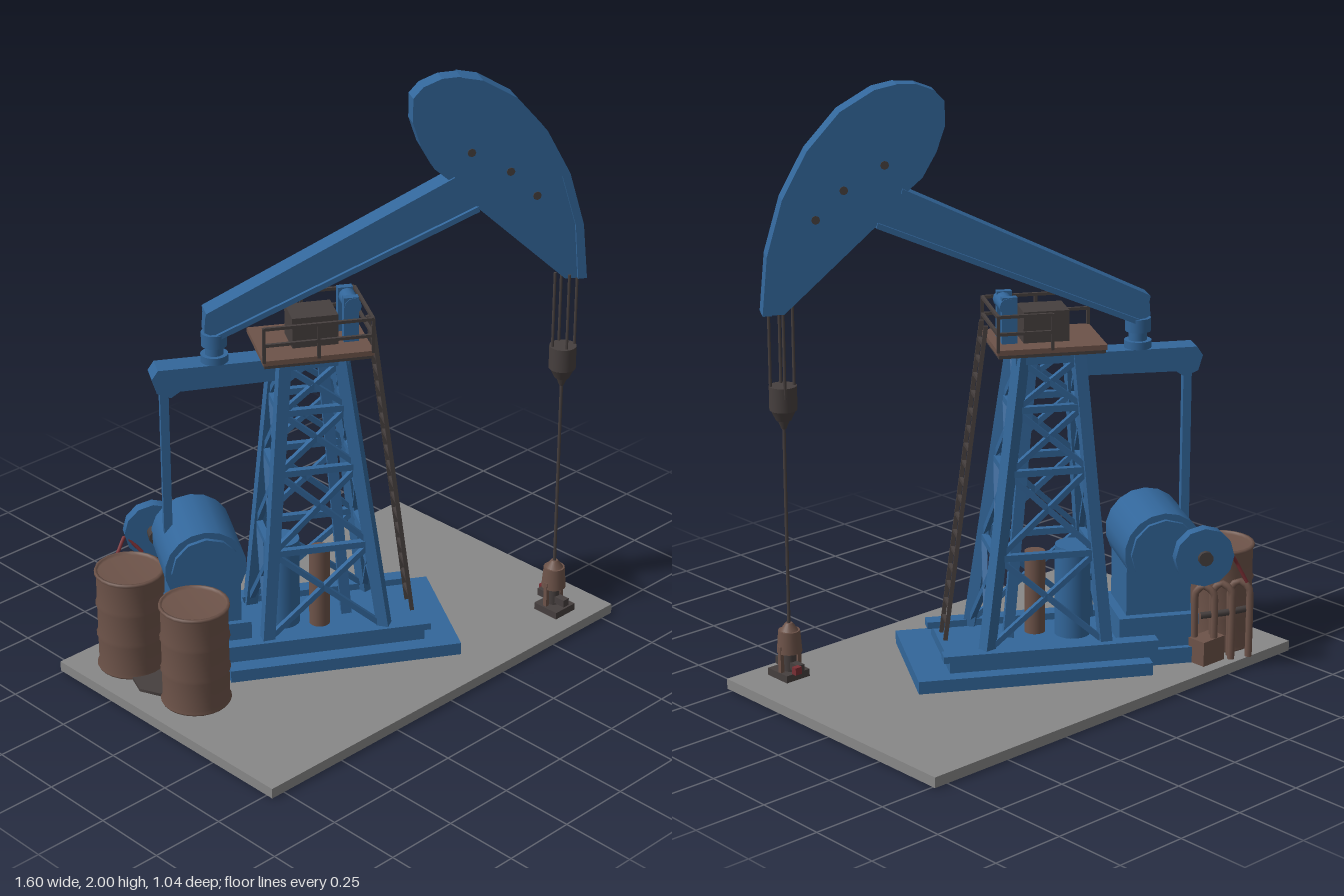
import * as THREE from 'three';

const mat = (name, color) => Object.assign(new THREE.MeshStandardMaterial({ color }), { name });
const V = (x, y, z) => new THREE.Vector3(x, y, z);

export function createModel() {
  const blue = mat('paintedBlue', 0x32669a);
  const concrete = mat('concreteGrey', 0x888888);
  const rust = mat('rustBrown', 0x6d5349);
  const dark = mat('darkIron', 0x463f3e);
  const red = mat('valveRed', 0x7a2f35);

  const root = new THREE.Group();
  root.name = 'oilPump';
  // the pump stands diagonally on its slab: local x runs along the beam
  const pump = new THREE.Group();
  pump.name = 'pumpUnit';
  pump.rotation.y = -31 * Math.PI / 180;
  root.add(pump);

  const add = (name, geo, m, parent = pump) => {
    const mesh = new THREE.Mesh(geo, m);
    mesh.name = name;
    parent.add(mesh);
    return mesh;
  };
  // box given by its limits on each axis
  const box = (name, m, x0, x1, y0, y1, z0, z1, parent) => {
    const b = add(name, new THREE.BoxGeometry(x1 - x0, y1 - y0, z1 - z0), m, parent);
    b.position.set((x0 + x1) / 2, (y0 + y1) / 2, (z0 + z1) / 2);
    return b;
  };
  // square bar between two points
  const bar = (name, m, a, b, t, parent) => {
    const s = add(name, new THREE.BoxGeometry(t, t, a.distanceTo(b)), m, parent);
    s.position.copy(a).add(b).multiplyScalar(0.5);
    const dir = b.clone().sub(a).normalize();
    if (Math.abs(dir.y) > 0.99) s.quaternion.setFromUnitVectors(V(0, 0, 1), dir);
    else s.quaternion.setFromRotationMatrix(new THREE.Matrix4().lookAt(b, a, V(0, 1, 0)));
    return s;
  };
  const cyl = (name, m, r0, r1, y0, y1, x, z, parent, sides = 20) => {
    const c = add(name, new THREE.CylinderGeometry(r1, r0, y1 - y0, sides), m, parent);
    c.position.set(x, (y0 + y1) / 2, z);
    return c;
  };
  // cylinder lying across the beam
  const crossCyl = (name, m, r, x, y, z0, z1, sides = 20) => {
    const c = add(name, new THREE.CylinderGeometry(r, r, z1 - z0, sides), m);
    c.rotation.x = Math.PI / 2;
    c.position.set(x, y, (z0 + z1) / 2);
    return c;
  };
  // side outline given thickness across the beam
  const plate = (name, m, shape, t) => {
    const g = new THREE.ExtrudeGeometry(shape, { depth: t, bevelEnabled: false, curveSegments: 8 });
    g.translate(0, 0, -t / 2);
    return add(name, g, m);
  };
  const outline = (pts) => new THREE.Shape(pts.map(p => new THREE.Vector2(...p)));

  // ground slab
  box('groundSlab', concrete, -0.8, 0.8, 0, 0.035, -0.51, 0.525, root);

  // skid base
  box('baseLower', blue, -0.42, 0.362, 0.035, 0.078, -0.22, 0.235);
  box('baseUpper', blue, -0.45, 0.25, 0.078, 0.115, -0.17, 0.18);
  box('baseRear', blue, -0.62, -0.42, 0.035, 0.09, -0.14, 0.15);
  for (const z of [-0.15, 0.16]) box('baseBeam', blue, -0.45, 0.27, 0.115, 0.138, z - 0.025, z + 0.025);

  // lattice tower: four leaning legs with cross bracing
  const tower = new THREE.Group();
  tower.name = 'tower';
  pump.add(tower);
  const corner = (sx, sz, y) => {
    const t = (y - 0.12) / 0.98;
    return V(-0.08 - 0.025 * t + sx * (0.2 - 0.105 * t), y, 0.01 + sz * (0.14 - 0.075 * t));
  };
  const corners = [[-1, -1], [1, -1], [1, 1], [-1, 1]];
  const levels = [0.13, 0.44, 0.72, 0.93, 1.09];
  corners.forEach((c, i) => {
    const n = corners[(i + 1) % 4];
    bar('leg', blue, corner(...c, 0.1), corner(...c, 1.12), 0.04, tower);
    levels.forEach((y, k) => {
      if (k) bar('tie', blue, corner(...c, y), corner(...n, y), 0.022, tower);
      if (k === levels.length - 1) return;
      bar('brace', blue, corner(...c, y), corner(...n, levels[k + 1]), 0.018, tower);
      bar('brace', blue, corner(...n, y), corner(...c, levels[k + 1]), 0.018, tower);
    });
  });
  bar('centrePost', blue, V(0.02, 0.12, 0.01), V(-0.06, 1.1, 0.01), 0.035, tower);
  box('towerCap', blue, -0.22, 0.01, 1.08, 1.13, -0.07, 0.09, tower);

  // machinery inside the tower
  cyl('innerTank', blue, 0.06, 0.06, 0.11, 0.43, -0.2, 0.01);
  cyl('innerDrum', rust, 0.035, 0.035, 0.11, 0.4, -0.08, 0.05);

  // work platform with railing
  const platform = new THREE.Group();
  platform.name = 'platform';
  pump.add(platform);
  box('platformFloor', rust, -0.28, 0.08, 1.13, 1.147, -0.12, 0.145, platform);
  box('platformUnderside', dark, -0.275, 0.075, 1.118, 1.13, -0.115, 0.14, platform);
  const rail = [[-0.1, -0.117], [0.077, -0.117], [0.077, 0.142], [-0.1, 0.142], [-0.277, 0.142]];
  rail.forEach((p, i) => {
    bar('railPost', dark, V(p[0], 1.14, p[1]), V(p[0], 1.26, p[1]), 0.01, platform);
    const n = rail[i + 1];
    if (n) for (const y of [1.2, 1.257]) bar('handRail', dark, V(p[0], y, p[1]), V(n[0], y, n[1]), 0.01, platform);
  });
  box('bearingHousing', dark, -0.17, -0.02, 1.147, 1.25, -0.05, 0.07, platform);
  for (const z of [-0.035, 0.05]) {
    box('saddleBracket', blue, 0.0, 0.05, 1.147, 1.3, z - 0.012, z + 0.012, platform);
  }
  crossCyl('saddlePin', blue, 0.028, 0.03, 1.27, -0.05, 0.065, 12);

  // ladder on the front of the tower
  const ladder = new THREE.Group();
  ladder.name = 'ladder';
  pump.add(ladder);
  const lBottom = V(0.235, 0.13, 0.03), lTop = V(0.095, 1.2, 0.03);
  const side = s => V(0, 0, s * 0.037);
  for (const s of [-1, 1]) bar('ladderRail', dark, lBottom.clone().add(side(s)), lTop.clone().add(side(s)), 0.014, ladder);
  for (let i = 1; i < 18; i++) {
    const p = lBottom.clone().lerp(lTop, i / 18);
    bar('rung', dark, p.clone().add(side(-1)), p.clone().add(side(1)), 0.012, ladder);
  }

  // walking beam with a raised lower flange
  plate('walkingBeam', blue, outline([[-0.445, 1.21], [-0.4, 1.185], [0.46, 1.56], [0.4, 1.68], [-0.44, 1.275]]), 0.05);
  plate('beamFlange', blue, outline([[-0.41, 1.18], [0.45, 1.545], [0.445, 1.562], [-0.415, 1.197]]), 0.075);
  plate('beamTopFlange', blue, outline([[-0.44, 1.262], [0.37, 1.652], [0.365, 1.668], [-0.44, 1.28]]), 0.075);

  // horse head with a wide curved front rim
  const head = outline([[0.36, 1.648], [0.3, 1.7], [0.255, 1.78], [0.228, 1.86], [0.228, 1.94], [0.26, 1.975], [0.32, 1.998],
    [0.38, 2], [0.45, 1.985], [0.56, 1.92], [0.665, 1.8], [0.745, 1.65], [0.795, 1.47], [0.808, 1.28], [0.745, 1.28], [0.45, 1.55]]);
  plate('horseHead', blue, head, 0.06);
  plate('headRim', blue, outline([[0.38, 2], [0.45, 1.985], [0.56, 1.92], [0.665, 1.8], [0.745, 1.65], [0.797, 1.47], [0.815, 1.28],
    [0.785, 1.28], [0.77, 1.47], [0.72, 1.64], [0.645, 1.78], [0.545, 1.9], [0.44, 1.97]]), 0.08);
  for (const [x, y] of [[0.42, 1.745], [0.55, 1.67], [0.64, 1.58]]) crossCyl('headHole', dark, 0.014, x, y, -0.033, 0.033, 8);

  // rear arm, bearing and connecting rod
  plate('rearArm', blue, outline([[-0.605, 1.02], [-0.56, 1.0], [-0.53, 1.02], [-0.2, 1.025], [-0.2, 1.1], [-0.6, 1.1], [-0.62, 1.07]]), 0.08);
  cyl('tailBearing', blue, 0.045, 0.045, 1.1, 1.125, -0.41, 0);
  cyl('tailBearing', blue, 0.03, 0.03, 1.12, 1.165, -0.41, 0);
  cyl('tailBearing', blue, 0.042, 0.042, 1.155, 1.2, -0.41, 0);
  bar('connectingRod', blue, V(-0.578, 0.4, 0.005), V(-0.578, 1.03, 0.005), 0.028);

  // gearbox, drum and cranks
  crossCyl('gearDrum', blue, 0.135, -0.48, 0.425, -0.12, 0.15, 18);
  for (const z of [-0.135, 0.15]) crossCyl('drumCover', blue, 0.115, -0.48, 0.425, z, z + 0.015, 12);
  box('gearboxStand', blue, -0.58, -0.36, 0.09, 0.4, -0.09, 0.12);
  box('gearboxFoot', blue, -0.6, -0.33, 0.09, 0.2, -0.12, 0.14);
  crossCyl('crankWheel', blue, 0.1, -0.6, 0.42, -0.185, -0.145, 12);
  crossCyl('crankShaft', dark, 0.025, -0.6, 0.42, -0.2, -0.1, 10);

  // hanger cables, weight and polished rod below the head
  const wx = 0.635, wz = 0.4;
  for (const [dx, dz] of [[-0.032, -0.018], [-0.014, 0.028], [0.02, -0.036], [0.036, 0.018]]) {
    cyl('hangerCable', dark, 0.005, 0.005, 1.0, 1.3, wx + dx, wz + dz, root, 6);
  }
  cyl('hangerWeight', dark, 0.045, 0.045, 0.955, 1.035, wx, wz, root);
  cyl('hangerTaper', dark, 0.025, 0.042, 0.92, 0.955, wx, wz, root);
  cyl('hangerTip', dark, 0.008, 0.02, 0.89, 0.92, wx, wz, root, 10);
  cyl('polishedRod', dark, 0.0055, 0.0055, 0.2, 0.9, wx, wz, root, 8);

  // wellhead
  const well = new THREE.Group();
  well.name = 'wellhead';
  root.add(well);
  cyl('wellNeck', rust, 0.03, 0.012, 0.2, 0.225, wx, wz, well);
  cyl('wellBody', rust, 0.042, 0.036, 0.125, 0.2, wx, wz, well);
  cyl('wellStem', dark, 0.022, 0.022, 0.035, 0.13, wx, wz, well);
  for (const s of [-1, 1]) bar('wellFrame', rust, V(wx + s * 0.036, 0.035, wz), V(wx + s * 0.036, 0.15, wz), 0.014, well);
  box('wellFlange', dark, wx - 0.05, wx + 0.045, 0.035, 0.06, wz - 0.04, wz + 0.06, well);
  bar('wellPipe', dark, V(wx, 0.08, wz - 0.06), V(wx, 0.08, wz + 0.06), 0.026, well);
  box('wellValve', red, wx + 0.01, wx + 0.035, 0.07, 0.095, wz - 0.075, wz - 0.055, well);

  // oil drums with rolled rims
  const drum = [[0, 0.035], [0.112, 0.035], [0.116, 0.042], [0.11, 0.05], [0.11, 0.15], [0.115, 0.157], [0.11, 0.164], [0.11, 0.265],
    [0.115, 0.272], [0.11, 0.279], [0.11, 0.378], [0.116, 0.384], [0.114, 0.392], [0.105, 0.392], [0.104, 0.382], [0, 0.382]];
  for (const [x, z] of [[-0.628, -0.342], [-0.622, -0.028]]) {
    add('oilDrum', new THREE.LatheGeometry(drum.map(p => new THREE.Vector2(...p)), 24), rust, root).position.set(x, 0, z);
  }
  cyl('groundMat', dark, 0.1, 0.1, 0.035, 0.045, -0.63, -0.185, root, 8);

  // pipe work behind the drums
  const pipe = (name, m, r, ...pts) => {
    const curve = new THREE.CatmullRomCurve3(pts.map(p => V(...p)), false, 'catmullrom', 0.2);
    add(name, new THREE.TubeGeometry(curve, 28, r, 8), m, root);
  };
  for (const x of [-0.6, -0.54, -0.48]) {
    const z = -0.505 + (x + 0.6) * 0.4;
    pipe('pipeLoop', rust, 0.012, [x, 0.035, z], [x, 0.27, z], [x + 0.02, 0.3, z + 0.03], [x + 0.04, 0.27, z + 0.05], [x + 0.04, 0.035, z + 0.05]);
  }
  pipe('crossPipe', dark, 0.012, [-0.6, 0.2, -0.49], [-0.53, 0.2, -0.47], [-0.44, 0.2, -0.43]);
  pipe('looseHose', red, 0.006, [-0.59, 0.3, -0.5], [-0.56, 0.37, -0.48], [-0.52, 0.41, -0.49], [-0.48, 0.35, -0.45]);
  box('pipeManifold', rust, -0.52, -0.42, 0.035, 0.12, -0.47, -0.4, root);

  return root;
}
